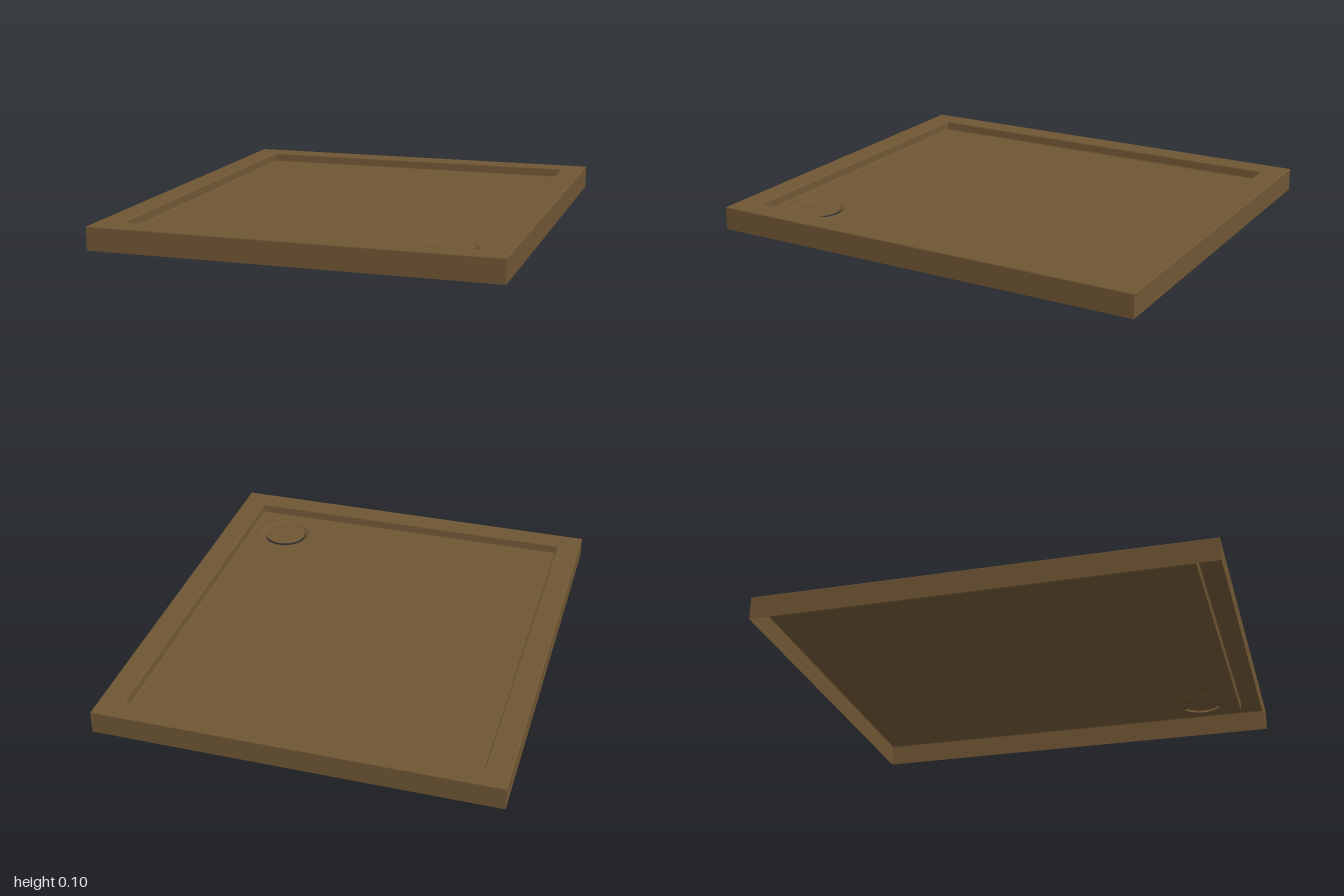
import * as THREE from 'three';

// Strip of four-sided rings; each ring is [halfWidth, y, halfDepth], going up the outside then inward
function loftRings(rings) {
  const signs = [[1, 1], [1, -1], [-1, -1], [-1, 1]];
  const corner = ([hx, y, hz], k) => [signs[k % 4][0] * hx, y, signs[k % 4][1] * hz];
  const pos = [];
  for (let i = 0; i < rings.length - 1; i++) {
    for (let k = 0; k < 4; k++) {
      const a = corner(rings[i], k), b = corner(rings[i], k + 1);
      const c = corner(rings[i + 1], k + 1), d = corner(rings[i + 1], k);
      pos.push(...a, ...b, ...c, ...a, ...c, ...d);
    }
  }
  const g = new THREE.BufferGeometry();
  g.setAttribute('position', new THREE.Float32BufferAttribute(pos, 3));
  g.computeVertexNormals();
  return g;
}

export function createModel() {
  const model = new THREE.Group();
  model.name = 'showerTray';
  const brown = new THREE.MeshStandardMaterial({ color: 0x6f5634, side: THREE.DoubleSide });
  brown.name = 'brown';
  const add = (name, geometry, x = 0, y = 0, z = 0) => {
    const mesh = new THREE.Mesh(geometry, brown);
    mesh.name = name;
    mesh.position.set(x, y, z);
    model.add(mesh);
  };

  const floorY = 0.06, floorX = 0.77, floorZ = 0.883;
  const drainX = 0.6, drainZ = 0.71, dishR = 0.13;

  // Thin outer skirt with a softened top edge, open underneath
  add('skirt', loftRings([
    [0.888, 0, 1], [0.888, 0.1, 1], [0.886, 0.1035, 0.998], [0.882, 0.105, 0.994],
  ]));

  // Flat rim, then the wall stepping down into the basin
  add('rim', loftRings([[0.882, 0.105, 0.994], [0.783, 0.105, 0.896]]));
  add('basinWall', loftRings([
    [0.783, 0.105, 0.896], [0.779, 0.103, 0.892], [0.777, 0.099, 0.89],
    [0.775, 0.066, 0.888], [0.773, 0.062, 0.886], [floorX, floorY, floorZ],
  ]));

  // Basin floor with a round opening for the drain (shape y becomes -z)
  const floor = new THREE.Shape([
    new THREE.Vector2(-floorX, -floorZ), new THREE.Vector2(floorX, -floorZ),
    new THREE.Vector2(floorX, floorZ), new THREE.Vector2(-floorX, floorZ),
  ]);
  floor.holes.push(new THREE.Path().absarc(drainX, -drainZ, dishR, 0, Math.PI * 2, true));
  add('basinFloor', new THREE.ShapeGeometry(floor, 24).rotateX(-Math.PI / 2), 0, floorY, 0);

  // Dished lip rolling down to the open drain hole
  const lip = [[dishR, 0], [0.122, -0.001], [0.114, -0.004], [0.106, -0.009], [0.1, -0.016]]
    .map(([r, y]) => new THREE.Vector2(r, y));
  add('drainLip', new THREE.LatheGeometry(lip, 48), drainX, floorY, drainZ);

  // Cover disc hovering just above the drain hole
  add('drainCover', new THREE.CylinderGeometry(0.1, 0.1, 0.004, 48), drainX, 0.057, drainZ);

  return model;
}
